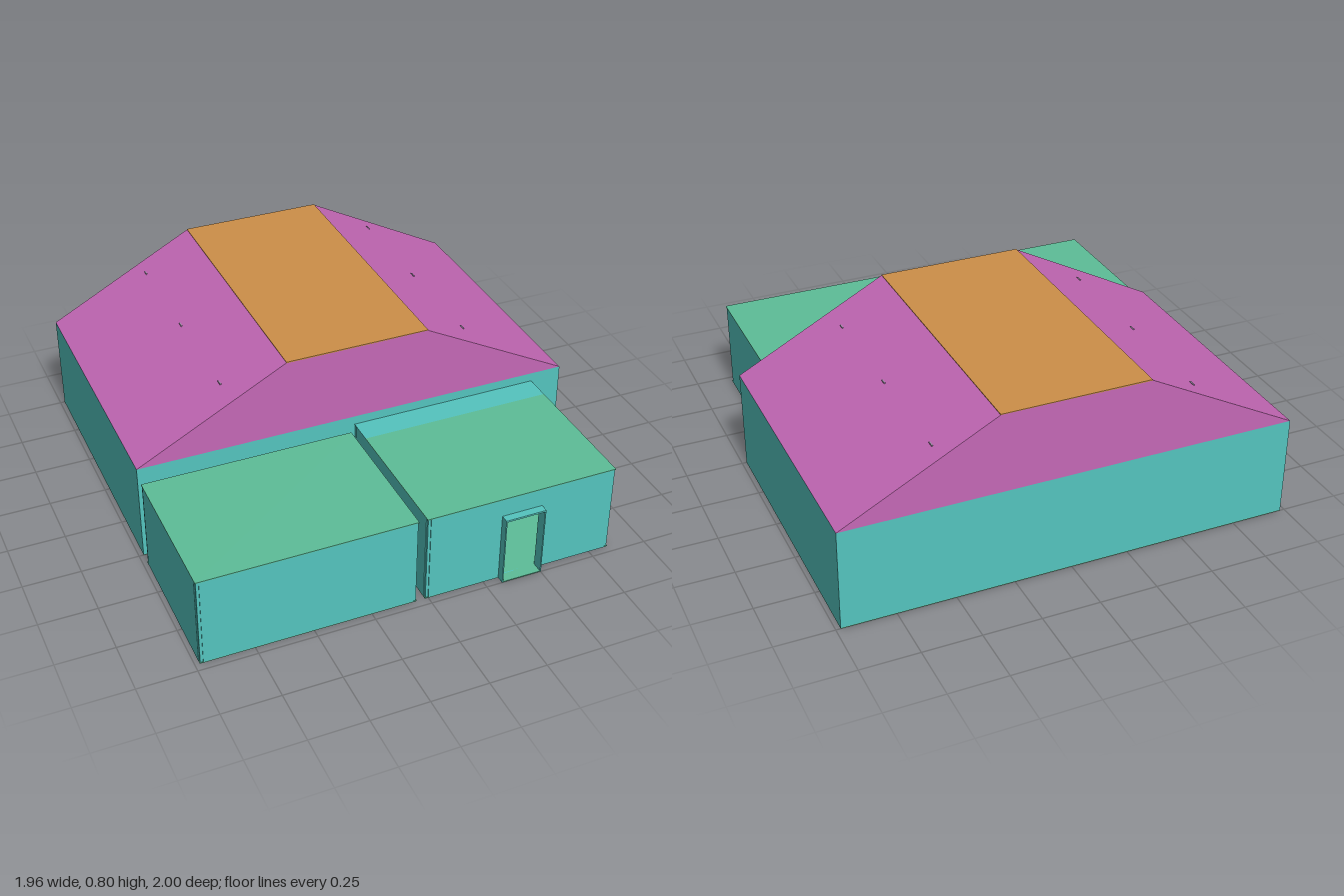
import * as THREE from 'three';

const TEAL = 0x54c4be, GREEN = 0x5dbd98, PINK = 0xc468b6, ORANGE = 0xcc8f48;
const T = 0.015; // wall thickness
const H = 0.405; // annex height

function add(parent, name, geometry, color) {
  const material = new THREE.MeshStandardMaterial({ color });
  material.flatShading = true;
  const mesh = new THREE.Mesh(geometry, material);
  mesh.name = name;
  parent.add(mesh);
  return mesh;
}

// Box given by its minimum and maximum on each axis
function box(parent, name, [x0, x1], [y0, y1], [z0, z1], color) {
  const mesh = add(parent, name, new THREE.BoxGeometry(x1 - x0, y1 - y0, z1 - z0), color);
  mesh.position.set((x0 + x1) / 2, (y0 + y1) / 2, (z0 + z1) / 2);
  return mesh;
}

// Upright wall from a to b with an optional opening [start, end, bottom, top];
// alongZ turns it to run front to back. "at" is its lower coordinate on the other axis.
function wall(parent, name, a, b, at, alongZ, opening) {
  const rect = (Type, l, r, lo, hi) => new Type([
    new THREE.Vector2(l, lo), new THREE.Vector2(r, lo),
    new THREE.Vector2(r, hi), new THREE.Vector2(l, hi)]);
  const shape = rect(THREE.Shape, a, b, 0, H - 0.004);
  if (opening) shape.holes.push(rect(THREE.Path, ...opening));
  const geometry = new THREE.ExtrudeGeometry(shape, { depth: T, bevelEnabled: false });
  if (alongZ) geometry.rotateY(-Math.PI / 2).translate(at + T, 0, 0);
  else geometry.translate(0, 0, at);
  add(parent, name, geometry, TEAL);
}

// Hollow flat-roofed annex with slightly recessed corner posts
function annex(name, [x0, x1], [z0, z1], openings, roofBack = z0) {
  const g = new THREE.Group();
  g.name = name;
  box(g, 'floor', [x0, x1], [0, 0.004], [z0, z1], GREEN);
  box(g, 'flatRoof', [x0, x1], [H - 0.004, H], [roofBack, z1], GREEN);
  wall(g, 'frontWall', x0 + T, x1 - T, z1 - T, false, openings.front);
  wall(g, 'backWall', x0 + T, x1 - T, z0, false, openings.back);
  wall(g, 'rightWall', z0 + T, z1 - T, x0, true, openings.right);
  wall(g, 'leftWall', z0 + T, z1 - T, x1 - T, true, openings.left);
  for (const x of [x0 + 0.003, x1 - T - 0.003 + 0.003])
    for (const z of [z0, z1 - T - 0.003])
      box(g, 'cornerPost', [x, x + T - 0.003], [0, H - 0.004], [z, z + T], TEAL);
  return g;
}

// Lining of an opening: two cheeks and a head, running in z or in x
function doorFrame(parent, name, [a, b], [c, d], top, alongX) {
  const t = 0.005;
  const piece = (label, across, y, through) => alongX
    ? box(parent, name + label, through, y, across, TEAL)
    : box(parent, name + label, across, y, through, TEAL);
  piece('Cheek', [a, a + t], [0, top], [c, d]);
  piece('Cheek', [b - t, b], [0, top], [c, d]);
  piece('Head', [a, b], [top - 0.008, top], [c, d]);
  const floor = piece('Floor', [a, b], [0, 0.004], [c, d]);
  floor.material.color.set(GREEN);
}

export function createModel() {
  const model = new THREE.Group();
  model.name = 'house';

  // Main hall
  box(model, 'hallWalls', [-0.98, 0.98], [0.004, 0.445], [-1, 0.25], TEAL);
  box(model, 'hallFloor', [-0.98, 0.98], [0, 0.004], [-1, 0.25], GREEN);

  // Roof: trapezoid prism with a flat crown
  const profile = new THREE.Shape([
    new THREE.Vector2(-0.98, 0.445), new THREE.Vector2(0.98, 0.445),
    new THREE.Vector2(0.32, 0.792), new THREE.Vector2(-0.32, 0.792)]);
  const prism = new THREE.ExtrudeGeometry(profile, { depth: 1.25, bevelEnabled: false });
  add(model, 'slopedRoof', prism.translate(0, 0, -1), PINK);
  box(model, 'roofCrown', [-0.32, 0.32], [0.79, 0.795], [-1, 0.25], ORANGE);

  // Small fittings just piercing the slopes
  for (const side of [-1, 1])
    for (const z of [-0.9, -0.4, 0.1])
      box(model, 'roofFitting', [side * 0.56 - 0.003, side * 0.56 + 0.003],
        [0.64, 0.67], [z - 0.014, z + 0.014], 0xa08aa8);

  // Two annexes
  const passage = [0.595, 0.765, 0.004, 0.312];
  model.add(annex('rightAnnex', [-0.98, -0.052], [0.3, 0.965], { left: passage }));
  model.add(annex('leftAnnex', [-0.015, 0.84], [0.25, 0.965],
    { right: passage, front: [0.325, 0.497, 0.004, 0.312] }, 0.365));
  box(model, 'rearRoofStrip', [-0.015, 0.84], [H - 0.004, H], [0.25, 0.365], TEAL);

  // Entrance, passage between annexes, and window boxes to the hall
  doorFrame(model, 'entrance', [0.32, 0.502], [0.95, 1], 0.32, false);
  doorFrame(model, 'passage', [0.59, 0.77], [-0.067, 0], 0.32, true);
  for (const x of [-0.805, -0.485])
    box(model, 'windowLink', [x, x + 0.262], [0.14, 0.31], [0.25, 0.3], 0x74aab8);

  // Table with a rounded back and a box on it, behind the entrance
  const table = new THREE.Group();
  table.name = 'table';
  const leafGreen = 0x5fd03a, olive = 0x4f7a1c;
  box(table, 'tableTop', [0.26, 0.54], [0.18, 0.195], [0.42, 0.62], olive);
  const back = add(table, 'roundedBack',
    new THREE.CylinderGeometry(0.13, 0.13, 0.115, 24), leafGreen);
  back.position.set(0.4, 0.2525, 0.48);
  back.scale.z = 0.5;
  box(table, 'tableBox', [0.28, 0.44], [0.215, 0.28], [0.52, 0.58], 0x8068b4);
  for (const x of [0.35, 0.41, 0.48]) {
    const leg = add(table, 'tableLeg', new THREE.CylinderGeometry(0.006, 0.01, 0.178, 8), olive);
    leg.position.set(x, 0.093, x === 0.41 ? 0.46 : 0.58);
  }
  model.add(table);

  return model;
}
